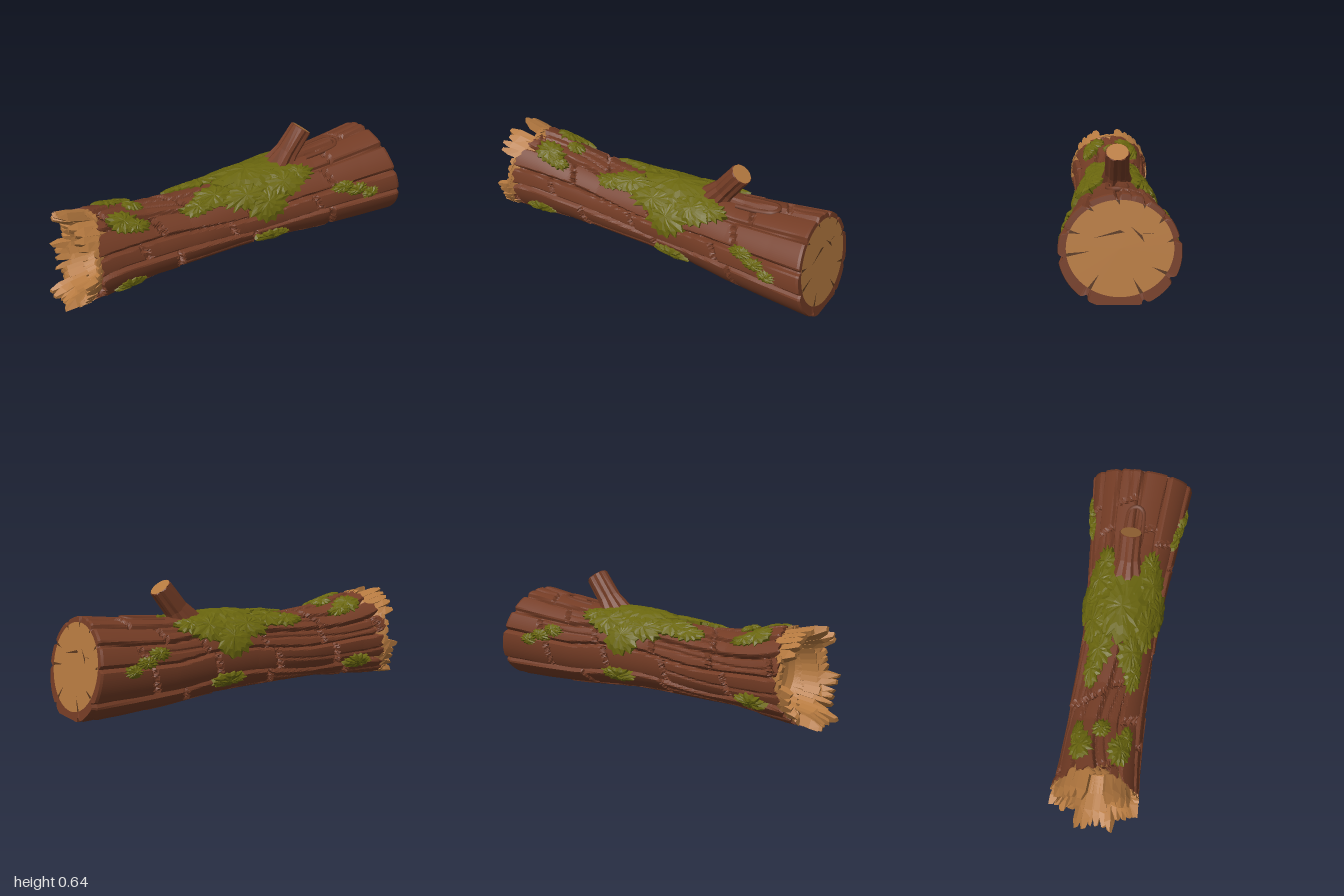
import * as THREE from 'three';

const RAD = Math.PI / 180;
const mat = (name, color) => Object.assign(new THREE.MeshStandardMaterial({ color }), { name });

let seed = 7;
const rnd = () => (seed = (seed * 16807) % 2147483647) / 2147483647;
const hash = (a, b) => { const s = Math.sin(a * 127.1 + b * 311.7) * 43758.5453; return s - Math.floor(s); };

// Log profile: x, top, bottom, half width
const PROFILE = [
  [-1, 0.505, -0.008, 0.236], [-0.85, 0.492, -0.002, 0.228], [-0.7, 0.468, 0.015, 0.214], [-0.5, 0.425, 0.035, 0.204],
  [-0.3, 0.41, 0.035, 0.2], [0, 0.425, 0.03, 0.198], [0.25, 0.44, 0.022, 0.21],
  [0.5, 0.45, 0.0, 0.237], [0.75, 0.477, -0.012, 0.26], [1, 0.507, -0.02, 0.285],
];
function profile(x) {
  let i = 0;
  while (i < PROFILE.length - 2 && x > PROFILE[i + 1][0]) i++;
  const p = PROFILE[i], q = PROFILE[i + 1];
  const t = THREE.MathUtils.clamp((x - p[0]) / (q[0] - p[0]), 0, 1);
  return [1, 2, 3].map((k) => p[k] + (q[k] - p[k]) * t);
}
// Point on the log at angle a in degrees (0 = front, 90 = top), moved out by off
function surf(x, a, off = 0) {
  const [top, bot, half] = profile(x);
  const y = (top + bot) / 2 + ((top - bot) / 2 + off) * Math.sin(a * RAD);
  return new THREE.Vector3(x, Math.max(0, y), (half + off) * Math.cos(a * RAD));
}

// Staggered bark plates with deep cracks between them
const CRACKS = [21, 56, 88, 117, 143, 170, 211, 247, 305, 353];
function relief(x, a) {
  const warp = (0.93 - x) * (6 * Math.sin(5 * x + 1) + 2 * Math.sin(9 * x + a * RAD * 2));
  const w = (((a + warp - 21) % 360) + 360) % 360 + 21;
  let k = CRACKS.length - 1;
  while (k > 0 && w < CRACKS[k]) k--;
  const lo = CRACKS[k], hi = k === CRACKS.length - 1 ? 381 : CRACKS[k + 1];
  const side = Math.min(w - lo, hi - w) * RAD * 0.23;
  const len = 0.36 + 0.25 * hash(k, 3);
  const s = x / len + hash(k, 5) * 3 + 0.1 * (w - lo) / (hi - lo);
  const cell = Math.floor(s), f = s - cell;
  const end = x > 0.8 ? 1 : Math.min(f, 1 - f) * len;
  const groove = Math.max(0, 1 - Math.min(side, end) / 0.015);
  const split = hash(k, cell + 9) > 0.6 ? Math.max(0, 1 - Math.abs(w - (lo + hi) / 2 - 3 * Math.sin(7 * x)) / 3) : 0;
  return 0.01 * (hash(k, cell) - 0.4) + 0.012 * (f - 0.5) * (hash(cell, k) - 0.5) - 0.028 * groove - 0.009 * split;
}

// Skin over a list of closed rings with crisp facets
function loft(rings) {
  const n = rings[0].length, index = [];
  for (let i = 0; i < rings.length - 1; i++) for (let j = 0; j < n; j++) {
    const a = i * n + j, b = i * n + (j + 1) % n;
    index.push(a, a + n, b + n, a, b + n, b);
  }
  const g = new THREE.BufferGeometry().setFromPoints(rings.flat());
  g.setIndex(index);
  const flat = g.toNonIndexed();
  flat.computeVertexNormals();
  return flat;
}

export function createModel() {
  const bark = mat('bark', 0x743c25), wood = mat('wood', 0xb67a40);
  const moss = mat('moss', 0x6a660e), crack = mat('crack', 0x5a371e);
  crack.side = wood.side = THREE.DoubleSide;
  const model = new THREE.Group();
  model.name = 'mossyLog';
  const add = (name, geometry, material, parent = model) => {
    const m = new THREE.Mesh(geometry, material);
    m.name = name;
    parent.add(m);
    return m;
  };
  const group = (name) => { const g = new THREE.Group(); g.name = name; model.add(g); return g; };

  const N = 180, angles = Array.from({ length: N }, (_, j) => j * 360 / N);
  const cutX = (y) => 1 - 0.17 * y;
  const brokenX = (a) => {
    const up = Math.sin(a * RAD), tooth = Math.floor(a / 12);
    const base = up > 0 ? -0.82 + 0.085 * up ** 2 : -0.82 - 0.05 * up ** 4;
    return base - 0.035 * hash(tooth, 2) - 0.014 * Math.abs((a % 12) - 6) / 6;
  };

  // Bark, from the broken rim along the trunk to the sawn rim
  const RINGS = 130, rows = [];
  rows.push(angles.map((a) => surf(brokenX(a), a, -0.035)));
  for (let i = 0; i <= RINGS; i++) rows.push(angles.map((a) => {
    const x0 = brokenX(a), x1 = cutX(surf(0.95, a).y);
    const x = x0 + (x1 - x0) * i / RINGS;
    return surf(x, a, relief(x, a) - (i === RINGS ? 0.005 : 0));
  }));
  const facePoint = (a, s, dx = 0) => {
    const y = 0.252 + 0.217 * s * Math.sin(a * RAD);
    return new THREE.Vector3(cutX(y) + dx, y, 0.245 * s * Math.cos(a * RAD));
  };
  rows.push(angles.map((a) => facePoint(a, 1)));
  add('bark', loft(rows), bark);

  // Sawn face with radial cracks
  add('sawnFace', loft([1, 0].map((s) => angles.map((a) => facePoint(a, s)))), wood);
  const faceCracks = group('faceCracks');
  const sliver = (pts) => {
    const g = new THREE.BufferGeometry().setFromPoints(pts);
    g.computeVertexNormals();
    add('faceCrack', g, crack, faceCracks);
  };
  CRACKS.forEach((a, i) => {
    const depth = [0.78, 0.9, 0.9, 0.94, 0.88, 0.88, 0.7, 0.66, 0.66, 0.55][i];
    sliver([facePoint(a - 2, 1, 0.002), facePoint(a + 2, 1, 0.002), facePoint(a + 2, depth, 0.002)]);
  });
  [[0.12, 0.3, 0, 0.335, -0.02, 0.325], [-0.05, 0.35, -0.11, 0.28, -0.1, 0.31], [-0.1, 0.318, -0.155, 0.32, -0.13, 0.316]].forEach((c) =>
    sliver([0, 2, 4].map((k) => new THREE.Vector3(cutX(c[k + 1]) + 0.002, c[k + 1], c[k]))));

  // Hollow in the broken end
  const hollow = [[-0.68, -0.3], [-0.7, -0.1], [-0.72, -0.07]].map(([x, off]) =>
    angles.map((a) => off < -0.2 ? new THREE.Vector3(x, 0.24, 0) : surf(x, a, off)));
  hollow.push(angles.map((a) => surf(brokenX(a), a, -0.035)));
  add('hollow', loft(hollow), wood);

  // Splinters around the broken end, with gaps at the sides and on top
  const splinters = group('splinters');
  const COUNT = 38;
  for (let i = 0; i < COUNT; i++) {
    const a = i * 360 / COUNT + 3 * rnd(), w = 5 + 2.5 * rnd();
    const gap = (a > 355 || a < 36) || (a > 146 && a < 186) || (a > 76 && a < 104);
    const low = a > 238 && a < 302;
    const x0 = brokenX(a);
    const tip = gap ? x0 - 0.03 : (low ? -0.965 : -0.9) - 0.035 * rnd() - (a < 180 ? 0.015 : 0);
    const section = (x, width, outer, inner, skew = 0) =>
      [[-1, outer], [1, outer], [1, inner], [-1, inner]].map(([s, o]) => surf(x + skew * s, a + s * width, o));
    const tipRing = section(Math.min(tip, x0 - 0.02), w * 0.35, 0.004, -0.02, 0.012 * (rnd() - 0.5));
    const end = tipRing.reduce((s, p) => s.add(p), new THREE.Vector3()).multiplyScalar(0.25);
    add('splinter', loft([
      tipRing.map(() => end.clone()), tipRing,
      section(Math.min(tip + 0.05, x0 - 0.01), w * 0.9, 0.002, -0.045, 0.008),
      section(x0 - 0.005, w, -0.008, -0.06), section(x0 + 0.08, w, -0.045, -0.07),
    ]), wood, splinters);
  }

  // Sawn branch stub with a ridged, flared base
  const stub = group('branchStub');
  stub.position.set(0.36, 0.45, -0.005);
  stub.rotation.z = Math.atan2(0.8, 0.6);
  const stubRing = (t, r, ridge = 0) => Array.from({ length: 20 }, (_, j) => {
    const q = r * (1 - ridge * (j % 3 === 0 ? 1 : 0.3 * hash(j, 4))), th = j * Math.PI / 10;
    return new THREE.Vector3(t, q * Math.sin(th), q * Math.cos(th));
  });
  add('stubBark', loft([stubRing(-0.1, 0.11, 0.2), stubRing(-0.03, 0.086, 0.2), stubRing(0.05, 0.065, 0.18),
    stubRing(0.194, 0.061, 0.12), stubRing(0.198, 0.055)]), bark, stub);
  add('stubCut', loft([stubRing(0.198, 0.055), stubRing(0.198, 0)]), wood, stub);

  // Raised bark fold behind the stub
  const fold = [[0.48, 101], [0.6, 101], [0.68, 98], [0.7, 90], [0.68, 82], [0.6, 79], [0.48, 79]].map(([x, a]) => surf(x, a, -0.001));
  add('barkFold', new THREE.TubeGeometry(new THREE.CatmullRomCurve3(fold), 30, 0.013, 5), bark);

  // Ragged moss patches that follow the trunk: x, angle, half length, half angle
  const mossGroup = group('moss');
  const patch = (x, a, rx, ra, lift = 0) => {
    const n = 28;
    const reach = Array.from({ length: n }, (_, k) => (k % 2 ? 0.78 : 1) * (0.8 + 0.2 * rnd()));
    const ring = (f, off, noise) => reach.map((r, k) => {
      const t = k * 2 * Math.PI / n, q = f * (0.8 + (r - 0.8) * f);
      return surf(x + rx * q * Math.cos(t), a + ra * q * Math.sin(t), off + lift + noise * (rnd() - 0.5));
    });
    add('mossPatch', loft([ring(0, 0.022, 0), ring(0.35, 0.021, 0.006), ring(0.7, 0.018, 0.008),
      ring(1, 0.01, 0.004), ring(0.98, -0.03, 0)]), moss, mossGroup);
  };
  patch(0.15, 90, 0.28, 62, 0.006);
  patch(0.12, 90, 0.2, 40, 0.012);
  for (const s of [1, -1]) {
    const side = (x, a, rx, ra, lift) => patch(x, 90 + s * (a - 90), rx, ra, lift);
    side(0.15, 32, 0.14, 35, 0.004);
    side(0.04, 50, 0.16, 24, 0.006);
    side(0.27, 52, 0.14, 27, 0.007);
    side(-0.12, 66, 0.15, 23, 0.003);
    side(-0.23, 58, 0.12, 17, 0.001);
    side(0.37, 58, 0.11, 17, 0.002);
    side(0.61, 22, 0.075, 10, -0.003);
    side(0.69, 13, 0.075, 9, -0.004);
    side(0.77, 4, 0.06, 9, -0.004);
    side(0.18, -30, 0.12, 15);
    side(-0.67, -32, 0.105, 14);
    side(-0.65, 62, 0.1, 21);
    side(-0.59, 54, 0.09, 12, 0.002);
  }
  patch(-0.55, 92, 0.06, 16);
  return model;
}
